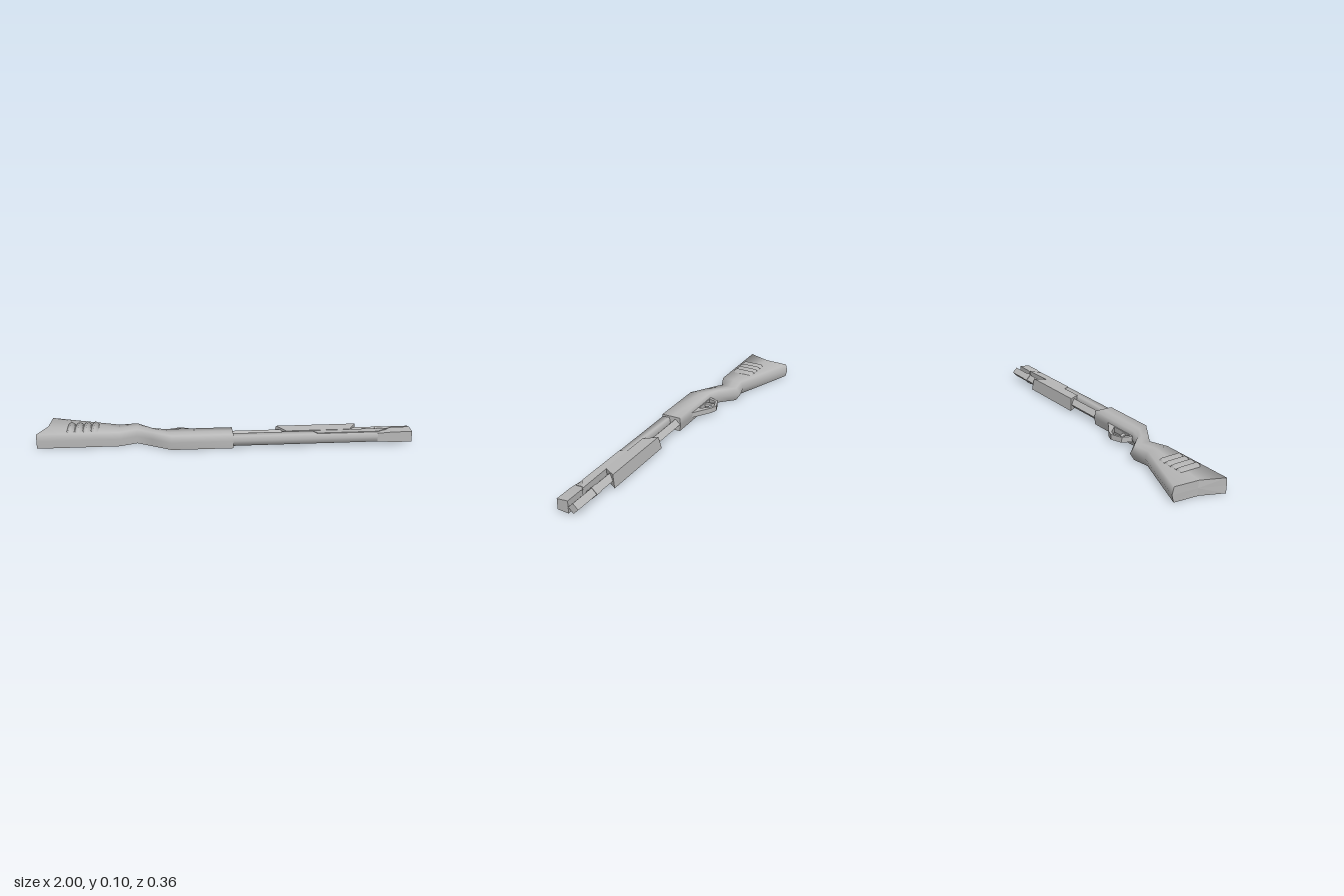
import * as THREE from 'three';
import { mergeGeometries, toCreasedNormals } from 'three/addons/utils/BufferGeometryUtils.js';

// Double-sided because the stock and fore-end are shells open underneath
const grey = new THREE.MeshStandardMaterial({ color: 0xb8b8b8, side: THREE.DoubleSide });
grey.name = 'plain grey';

// Unshared triangles with flat normals.
function triangles(list) {
  const g = new THREE.BufferGeometry();
  g.setAttribute('position', new THREE.Float32BufferAttribute(list.flat(), 3));
  g.computeVertexNormals();
  return g;
}

// Skin over rings of [x, y, z], counter-clockwise seen from +x, listed from -x to +x.
// The end caps stay flat; startX can push the middle of the first cap inward.
// The last `open` edges of each ring are left without a wall.
function loft(rings, { crease = 0.5, startX = null, open = 0 } = {}) {
  const sides = [], caps = [];
  const centre = (r) => [0, 1, 2].map((k) => r.reduce((s, p) => s + p[k], 0) / r.length);
  const n = rings[0].length;
  const first = rings[0], last = rings[rings.length - 1];
  const c0 = centre(first), c1 = centre(last);
  if (startX !== null) c0[0] = startX;
  for (let j = 0; j < n; j++) {
    const k = (j + 1) % n;
    caps.push(c0, first[k], first[j], c1, last[j], last[k]);
    if (j >= n - open) continue;
    for (let i = 0; i < rings.length - 1; i++) {
      const a = rings[i], b = rings[i + 1];
      sides.push(a[j], a[k], b[k], a[j], b[k], b[j]);
    }
  }
  return mergeGeometries([toCreasedNormals(triangles(sides), crease), triangles(caps)]);
}

// Same [y, z] section carried straight from x0 to x1.
const bar = (x0, x1, section, options) =>
  loft([x0, x1].map((x) => section.map(([y, z]) => [x, y, z])), options);

// Outline in [x, z] thickened between two heights.
function slab(outline, y0, y1, hole) {
  const points = (a) => a.map(([x, z]) => new THREE.Vector2(x, z));
  const shape = new THREE.Shape(points(outline));
  if (hole) shape.holes.push(new THREE.Path(points(hole)));
  const g = new THREE.ExtrudeGeometry(shape, { depth: y1 - y0, bevelEnabled: false });
  return g.rotateX(Math.PI / 2).translate(0, y1, 0);
}

export function createModel() {
  const group = new THREE.Group();
  const add = (name, geometry) => {
    const mesh = new THREE.Mesh(geometry, grey);
    mesh.name = name;
    group.add(mesh);
  };

  // Stock, grip and receiver in one shell:
  // [lower x, lower z, ridge depth, middle x, middle z, upper x, upper z]
  const stations = [
    [-0.94, -0.178, 0.011, -0.95, -0.03, -1, 0.094],
    [-0.565, -0.043, 0.015, -0.565, 0.025, -0.565, 0.094],
    [-0.47, -0.067, 0.026, -0.47, 0, -0.47, 0.057],
    [-0.39, 0.02, 0.018, -0.39, 0.064, -0.39, 0.108],
    [-0.32, 0.053, 0.01, -0.305, 0.112, -0.29, 0.171],
    [0.038, 0.058, 0.005, 0.038, 0.115, 0.038, 0.173],
  ];
  add('stockAndReceiver', loft(stations.map(([xa, lo, e, xm, mid, xb, hi]) => [
    [xa, 0, lo + e], [xa, 0.04, lo], [xa, 0.079, lo + e], [xm, 0.079, mid],
    [xb, 0.079, hi - 0.002], [xb, 0.04, hi], [xb, 0, hi - 0.002], [xm, 0, mid],
  ]), { crease: 1.555, startX: -0.95, open: 2 }));

  // Four ridged holders on the side of the stock
  for (let i = 0; i < 4; i++) {
    const x = -0.824 + i * 0.0427, w = 0.0213;
    const p = [
      [x - w, 0.077, -0.048], [x + w, 0.077, -0.048], [x, 0.098, -0.046],
      [x - w, 0.077, 0.065], [x + w, 0.077, 0.065], [x, 0.099, 0.06], [x, 0.078, 0.085],
    ];
    const faces = [0, 2, 1, 0, 3, 5, 0, 5, 2, 1, 2, 5, 1, 5, 4, 3, 6, 5, 6, 4, 5];
    add('sideHolder', toCreasedNormals(triangles(faces.map((k) => p[k])), 1.65));
  }

  // Trigger guard and trigger
  add('triggerGuard', slab(
    [[-0.33, 0.065], [-0.305, 0], [-0.24, -0.024], [-0.2, -0.01], [-0.085, 0.065]],
    0.025, 0.055,
    [[-0.305, 0.052], [-0.29, 0.008], [-0.24, -0.01], [-0.21, 0.002], [-0.165, 0.052]]));
  add('trigger', slab(
    [[-0.265, 0.065], [-0.28, 0.022], [-0.292, 0.004], [-0.281, 0.004], [-0.262, 0.024], [-0.235, 0.065]],
    0.033, 0.047));

  // Upper barrel, its tapered sleeve and the flared muzzle block
  add('barrel', bar(0.03, 0.86, [
    [0.014, 0.128], [0.041, 0.122], [0.069, 0.128],
    [0.067, 0.169], [0.041, 0.173], [0.013, 0.169],
  ], { crease: 1.5 }));
  add('barrelSleeve', slab([[0.465, 0.126], [0.88, 0.122], [0.815, 0.167], [0.49, 0.167]], 0.012, 0.071));
  const muzzle = (xa, xb, inset) => [
    [xa, 0.005 + inset, 0.117], [xa, 0.073 - inset, 0.117],
    [xb, 0.068 - inset, 0.178 - inset / 2], [xb, 0.01 + inset, 0.178 - inset / 2],
  ];
  add('muzzleBlock', loft([muzzle(0.88, 0.815, 0.006), muzzle(0.9, 0.9, 0), muzzle(1, 1, 0)]));

  // Four-sided magazine tube with its retaining band
  const diamond = (r) => [[0.04 - r, 0.089], [0.04, 0.089 - r], [0.04 + r, 0.089], [0.04, 0.089 + r]];
  add('magazineTube', bar(0.03, 1, diamond(0.028)));
  add('tubeBand', bar(0.815, 0.85, diamond(0.032)));

  // Sliding fore-end shell with slanted ends
  const foreEnd = (xLow, xHigh, xInner) => [
    [xLow, 0.009, 0.046], [xHigh, 0.078, 0.058], [xInner, 0.073, 0.128], [xInner, 0.005, 0.12],
  ];
  add('foreEnd', loft([foreEnd(0.267, 0.28, 0.325), foreEnd(0.722, 0.715, 0.67)], { open: 1 }));

  return group;
}
